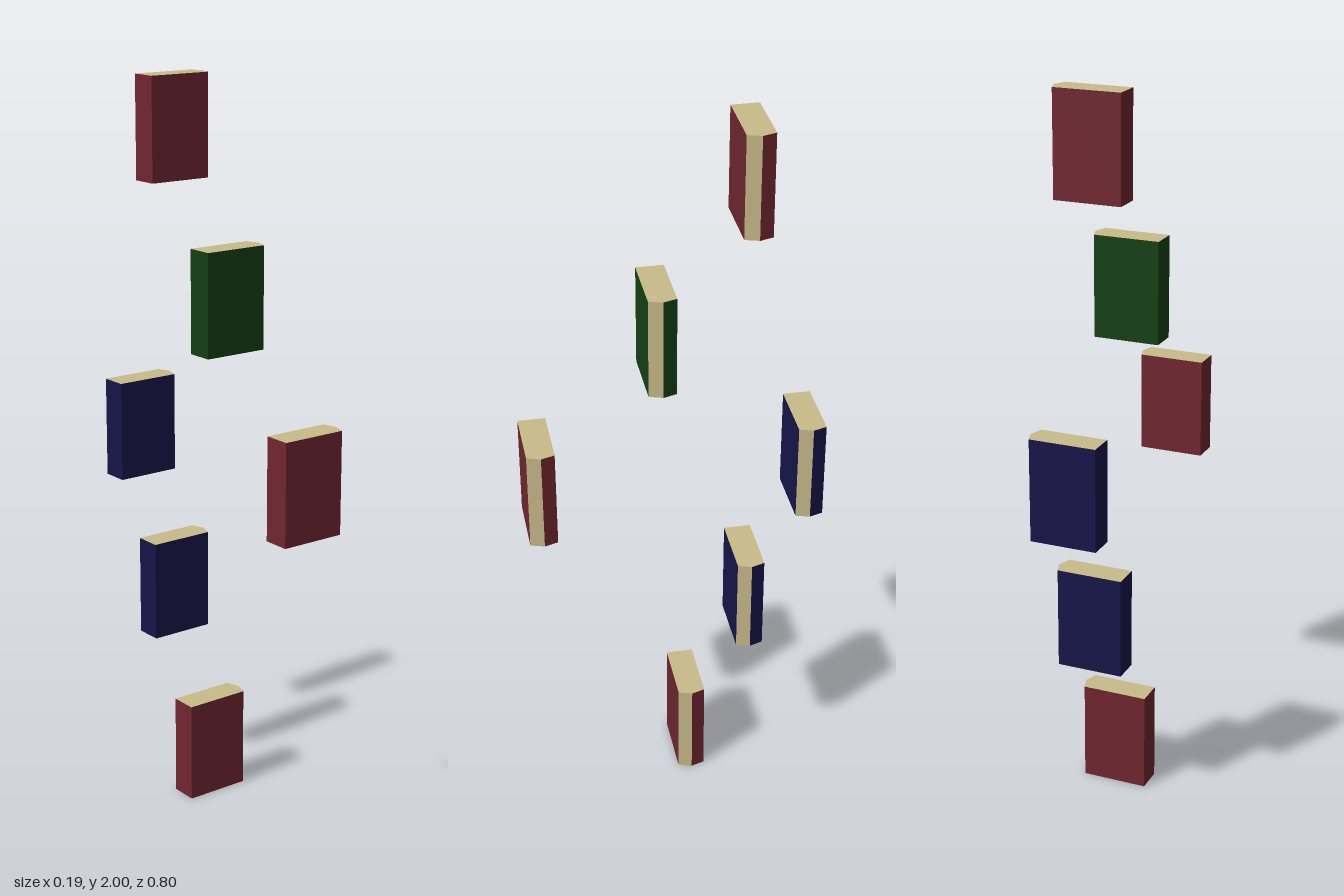
import * as THREE from 'three';

const HEIGHT = 0.28, HALF = 0.0375;
const RED = 0x702630, GREEN = 0x143f14, BLUE = 0x17154a, PAPER = 0xc9bb8a;

// [cover colour, base y, centre z]
const BOOKS = [
  [RED, 0, -0.041],
  [BLUE, 0.432, -0.207],
  [RED, 0.862, 0.364],
  [BLUE, 0.862, -0.365],
  [GREEN, 1.292, 0.04],
  [RED, 1.72, -0.203],
];

// Copies a run of triangles out of a non-indexed geometry
function slice(geometry, start, end) {
  const part = new THREE.BufferGeometry();
  for (const name of ['position', 'normal']) {
    const array = geometry.attributes[name].array.slice(start * 3, end * 3);
    part.setAttribute(name, new THREE.BufferAttribute(array, 3));
  }
  return part;
}

// Book body: a box whose spine comes to a shallow ridge at +x
function bookGeometries() {
  const outline = [[0.085, -HALF], [0.097, 0], [0.085, HALF], [-0.098, HALF], [-0.098, -HALF]];
  const shape = new THREE.Shape(outline.map(([x, y]) => new THREE.Vector2(x, y)));
  const body = new THREE.ExtrudeGeometry(shape, { depth: HEIGHT, bevelEnabled: false });
  body.rotateX(-Math.PI / 2);
  // The two caps (18 vertices) come first, then the fore edge (6), then the cover walls
  return { pages: slice(body, 0, 24), cover: slice(body, 24, 48) };
}

export function createModel() {
  const group = new THREE.Group();
  group.name = 'floatingBooks';
  const { pages, cover } = bookGeometries();
  const paper = new THREE.MeshStandardMaterial({ color: PAPER });

  BOOKS.forEach(([color, y, z], i) => {
    const book = new THREE.Group();
    book.name = `book${i + 1}`;
    const pageMesh = new THREE.Mesh(pages, paper);
    pageMesh.name = 'pages';
    // Open wrap: front board, spine and back board
    const coverMesh = new THREE.Mesh(cover, new THREE.MeshStandardMaterial({ color, side: THREE.DoubleSide }));
    coverMesh.name = 'cover';
    book.add(pageMesh, coverMesh);
    book.position.set(0, y, z);
    group.add(book);
  });
  return group;
}
